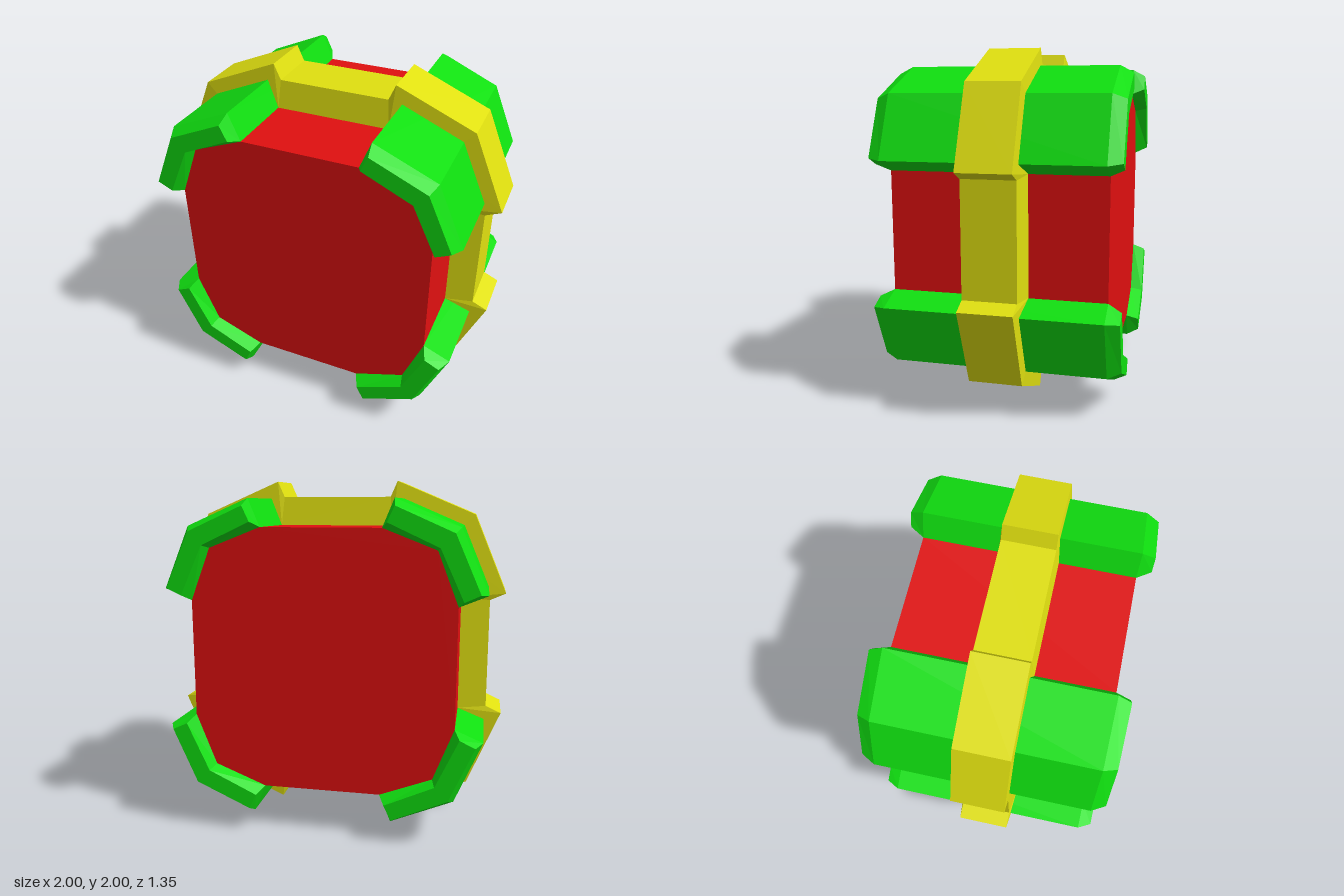
import * as THREE from 'three';

// Quarter profiles, listed counter-clockwise in the upper left-hand quadrant (+x, +y)
const BODY = [[0.745, 0.335], [0.63, 0.63], [0.335, 0.745]];
const BAND_OUTER = [[0.91, 0.32], [1, 0.36], [0.81, 0.81], [0.36, 1], [0.32, 0.91]];
const BAND_BASE = [BODY[0], BODY[0], BODY[1], BODY[2], BODY[2]];
const GUARD = [[0.9, 0.4], [0.75, 0.75], [0.4, 0.9], ...[...BODY].reverse()];
const GUARD_TIP = [[0.86, 0.41], [0.722, 0.722], [0.41, 0.86], [0.37, 0.775], [0.647, 0.647], [0.775, 0.37]];

// Repeat a quarter profile four times around the z axis
function ring(quarter) {
  const turns = [([x, y]) => [x, y], ([x, y]) => [-y, x], ([x, y]) => [-x, -y], ([x, y]) => [y, -x]];
  return turns.flatMap((turn) => quarter.map(turn));
}

// Flat-faced solid through matching outlines, ordered from back (-z) to front (+z)
function loft(sections, capped) {
  const pos = [];
  const tri = (...corners) => corners.forEach((c) => pos.push(...c));
  const at = (s, i) => [...s.pts[i % s.pts.length], s.z];
  const n = sections[0].pts.length;
  for (let k = 0; k < sections.length - 1; k++) {
    const a = sections[k], b = sections[k + 1];
    for (let i = 0; i < n; i++) {
      tri(at(a, i), at(a, i + 1), at(b, i + 1));
      tri(at(a, i), at(b, i + 1), at(b, i));
    }
  }
  if (capped) {
    const back = sections[0], front = sections[sections.length - 1];
    const outline = front.pts.map(([x, y]) => new THREE.Vector2(x, y));
    for (const [i, j, k] of THREE.ShapeUtils.triangulateShape(outline, [])) {
      tri(at(front, i), at(front, j), at(front, k));
      tri(at(back, i), at(back, k), at(back, j));
    }
  }
  const geometry = new THREE.BufferGeometry();
  geometry.setAttribute('position', new THREE.Float32BufferAttribute(pos, 3));
  geometry.computeVertexNormals();
  return geometry;
}

export function createModel() {
  const group = new THREE.Group();
  const material = (color) => new THREE.MeshStandardMaterial({ color, flatShading: true });
  const add = (name, geometry, mat) => {
    const mesh = new THREE.Mesh(geometry, mat);
    mesh.name = name;
    mesh.position.y = 1;
    group.add(mesh);
    return mesh;
  };

  // Rounded-off cube core
  const body = ring(BODY);
  add('body', loft([{ pts: body, z: -0.6 }, { pts: body, z: 0.6 }], true), material(0xe01010));

  // Raised middle band with tapered sides and thicker corners
  const base = ring(BAND_BASE), outer = ring(BAND_OUTER);
  add('middleBand', loft([
    { pts: base, z: -0.17 }, { pts: outer, z: -0.15 },
    { pts: outer, z: 0.15 }, { pts: base, z: 0.17 },
  ], false), material(0xe0e010));

  // Corner guards running front to back under the band, with bevelled ends
  const guard = loft([
    { pts: GUARD_TIP, z: -0.675 }, { pts: GUARD, z: -0.6 },
    { pts: GUARD, z: 0.6 }, { pts: GUARD_TIP, z: 0.675 },
  ], true);
  const green = material(0x10e010);
  ['topLeft', 'topRight', 'bottomRight', 'bottomLeft'].forEach((corner, i) => {
    add(corner + 'CornerGuard', guard, green).rotation.z = i * Math.PI / 2;
  });

  return group;
}
